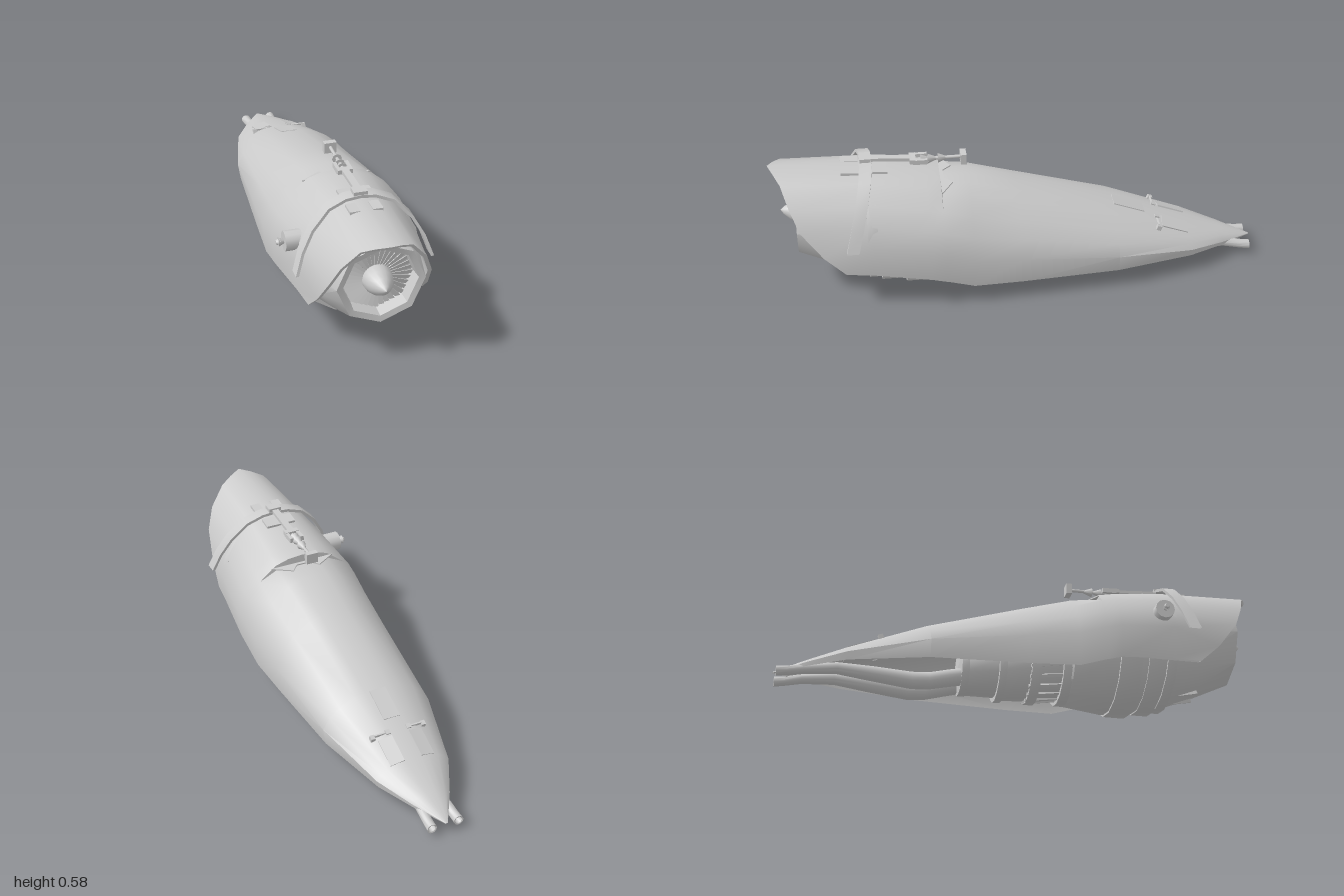
import * as THREE from 'three';
import { toCreasedNormals } from 'three/addons/utils/BufferGeometryUtils.js';

const mat = new THREE.MeshStandardMaterial({ color: 0xcccccc, side: THREE.DoubleSide });

// Skin between rows of [x, y, z] points
function loft(rows, crease = 0.7) {
  const pos = [], idx = [], n = rows[0].length;
  rows.forEach(r => r.forEach(p => pos.push(...p)));
  for (let i = 0; i < rows.length - 1; i++) {
    for (let j = 0; j < n - 1; j++) {
      const a = i * n + j, b = a + 1, c = a + n, d = c + 1;
      idx.push(a, b, c, b, d, c);
    }
  }
  const g = new THREE.BufferGeometry();
  g.setAttribute('position', new THREE.Float32BufferAttribute(pos, 3));
  g.setIndex(idx);
  return toCreasedNormals(g.toNonIndexed(), crease);
}

// Closed ring in a plane of constant z; octagon = true flattens every second corner
function ring(z, cy, r, octagon = false, cx = 0) {
  return Array.from({ length: 17 }, (_, i) => {
    const a = (i % 16) / 16 * Math.PI * 2;
    const k = octagon && i % 2 ? r * Math.cos(Math.PI / 8) : r;
    return [cx + Math.sin(a) * k, cy + Math.cos(a) * k, z];
  });
}

const mirror = half => [...half.slice(1).reverse().map(([x, y, z]) => [-x, y, z]), ...half];

export function createModel() {
  const model = new THREE.Group();
  const body = new THREE.Group();
  body.name = 'enginePod';
  body.position.x = 0.014;
  model.add(body);

  const add = (name, geo, x = 0, y = 0, z = 0, rx = 0, ry = 0, rz = 0, parent = body) => {
    const m = new THREE.Mesh(geo, mat);
    m.name = name;
    m.position.set(x, y, z);
    m.rotation.set(rx, ry, rz);
    parent.add(m);
  };
  const box = (w, h, d) => new THREE.BoxGeometry(w, h, d);
  const cyl = (a, b, h, n = 12) => new THREE.CylinderGeometry(a, b, h, n);

  // Outer cowl: an arched shell, open underneath, with a swept front lip
  const profile = [[0, 1], [0.22, 0.985], [0.42, 0.94], [0.7, 0.775], [0.88, 0.59], [1, 0.36], [0.95, 0]];
  const section = (z, w, top, bottom, floor = 9) => profile.map(([u, v], i) =>
    [u * w, Math.min(bottom + v * (top - bottom), i < 3 ? floor - 0.007 * Math.max(0, i - 1) : 9), z]);
  const lip = [[0, 0.57, 1], [0.05, 0.556, 0.977], [0.1, 0.535, 0.952], [0.165, 0.455, 0.922],
    [0.2, 0.365, 0.885], [0.218, 0.25, 0.8], [0.228, 0.17, 0.715]];
  const inset = pts => pts.map(([x, y, z]) => [x * 0.93, 0.17 + (y - 0.17) * 0.97, z - 0.006]);
  const stations = [
    section(0.6, 0.253, 0.545, 0.165), section(0.37, 0.28, 0.515, 0.14),
    section(0.315, 0.279, 0.505, 0.125), section(0.312, 0.279, 0.505, 0.125, 0.468), // intake step
    section(0.2, 0.275, 0.47, 0.09), section(0, 0.262, 0.412, 0.085),
    section(-0.4, 0.235, 0.29, 0.085), section(-0.72, 0.157, 0.167, 0.077),
    section(-0.87, 0.082, 0.112, 0.067), section(-1, 0.004, 0.062, 0.058),
  ];
  add('cowl', loft([inset(section(0.5, 0.262, 0.53, 0.16)), inset(lip), lip, ...stations].map(mirror)));

  // Engine core: octagonal inlet growing to a round casing, then stepping down
  add('coreCasing', loft([
    ring(0.82, 0.345, 0.14, true), ring(0.895, 0.347, 0.147, true), ring(0.9, 0.347, 0.172, true),
    ring(0.75, 0.315, 0.205), ring(0.6, 0.283, 0.233), ring(0.45, 0.252, 0.236),
    ring(0.36, 0.24, 0.228), ring(0.2, 0.215, 0.185), ring(0.18, 0.195, 0.145),
    ring(-0.08, 0.155, 0.128), ring(-0.09, 0.15, 0.112), ring(-0.25, 0.13, 0.094), ring(-0.26, 0.13, 0.001),
  ], 0.75));

  // Collars around the casing: front z, back z, centre height, outer radius
  [[0.62, 0.58, 0.286, 0.247], [0.57, 0.5, 0.268, 0.245], [0.47, 0.38, 0.252, 0.247],
    [0.2, 0.16, 0.19, 0.162], [0.07, 0.03, 0.172, 0.15], [-0.07, -0.1, 0.152, 0.133],
    [-0.22, -0.25, 0.134, 0.102]].forEach(([z0, z1, cy, r]) =>
    add('collar', loft([ring(z0, cy, r - 0.02), ring(z0, cy, r), ring(z1, cy, r), ring(z1, cy, r - 0.02)], 0.5)));

  // Lengthwise slats on the rear drum
  for (let i = 0; i < 20; i++) {
    const a = i / 20 * Math.PI * 2;
    add('drumSlat', box(0.012, 0.014, 0.15), Math.sin(a) * 0.14, 0.182 + Math.cos(a) * 0.14, 0.1, -0.15, 0, -a);
  }

  // Inlet fan and spinner
  const fan = new THREE.Group();
  fan.name = 'fan';
  fan.position.set(0, 0.34, 0.84);
  body.add(fan);
  add('fanDisc', new THREE.CircleGeometry(0.145, 16), 0, 0, -0.012, 0, 0, 0, fan);
  for (let i = 0; i < 36; i++) {
    const pivot = new THREE.Group();
    pivot.rotation.z = i / 36 * Math.PI * 2;
    fan.add(pivot);
    add('fanBlade', box(0.02, 0.085, 0.002), 0, 0.098, 0, 0, 0.35, 0, pivot);
  }
  const nose = [[0.058, -0.01], [0.058, 0.02], [0.051, 0.05], [0.035, 0.083], [0.016, 0.11], [0, 0.124]]
    .map(p => new THREE.Vector2(...p));
  add('spinner', new THREE.LatheGeometry(nose, 16), 0, -0.005, 0, Math.PI / 2 - 0.15, 0, 0, fan);

  // Small fins around the front of the casing
  [0.2, 1.25].forEach(t => [-1, 1].forEach(s => {
    const a = Math.PI - s * t;
    add('casingFin', box(0.01, 0.03, 0.1), Math.sin(a) * 0.208, 0.31 + Math.cos(a) * 0.208, 0.7, 0.21 * Math.cos(a), 0.21 * Math.sin(a), -a);
  }));

  // Twin exhaust pipes running back to the tail: z, x, y, radius
  [-1, 1].forEach(s => add('exhaustPipe', loft([
    [-0.22, 0.045, 0.095, 0.035], [-0.3, 0.05, 0.077, 0.036], [-0.38, 0.055, 0.056, 0.035],
    [-0.45, 0.057, 0.051, 0.035], [-0.6, 0.057, 0.065, 0.031], [-0.75, 0.055, 0.078, 0.024],
    [-0.88, 0.05, 0.064, 0.02], [-0.95, 0.055, 0.05, 0.019], [-0.99, 0.057, 0.045, 0.02],
    [-0.988, 0.057, 0.045, 0.015], [-0.95, 0.055, 0.05, 0.014],
  ].map(([z, x, y, r]) => ring(z, y, r, false, s * x)))));

  // Strap over the cowl, leaning forward toward its ends
  const strapHalf = [[0, 0.572], [0.06, 0.566], [0.13, 0.538], [0.2, 0.465], [0.245, 0.385], [0.274, 0.3]];
  const strapRow = (k, dz) => mirror(strapHalf.map(([x, y]) =>
    [x * k, 0.3 + (y - 0.3) * k, 0.61 + (0.572 - y) * 0.27 + dz]));
  add('strap', loft([strapRow(0.955, 0.025), strapRow(1, 0.025), strapRow(1, -0.025), strapRow(0.955, -0.025),
    strapRow(0.955, 0.025)], 0.5));

  // Linkage on top: mounting plates, arm, fork, spindle and end block
  add('mountPlate', box(0.13, 0.01, 0.06), 0, 0.541, 0.555, -0.1);
  [-1, 1].forEach(s => {
    add('mountLug', box(0.04, 0.012, 0.07), s * 0.045, 0.543, 0.675, -0.07);
    add('forkTine', box(0.014, 0.02, 0.06), s * 0.024, 0.555, 0.39);
  });
  add('hingeBlock', box(0.055, 0.02, 0.045), 0, 0.575, 0.61);
  add('linkArm', box(0.028, 0.014, 0.2), 0, 0.566, 0.51, -0.07);
  add('forkBridge', box(0.06, 0.018, 0.025), 0, 0.558, 0.42);
  add('spindle', cyl(0.007, 0.007, 0.2, 8), 0, 0.553, 0.31, Math.PI / 2);
  [0.37, 0.34, 0.3].forEach(z => add('spindleCone', cyl(0.02, 0.006, 0.035, 8), 0, 0.552, z, Math.PI / 2));
  add('endBlock', box(0.05, 0.045, 0.024), 0, 0.55, 0.215);

  // Wing-shaped vane in the top intake
  const wing = new THREE.Shape([[-0.14, 0], [-0.06, 0.05], [-0.03, 0.015], [0.03, 0.015], [0.06, 0.05], [0.14, 0]]
    .map(p => new THREE.Vector2(...p)));
  add('intakeVane', new THREE.ExtrudeGeometry(wing, { depth: 0.005, bevelEnabled: false }), 0, 0.468, 0.313, -Math.PI / 2);

  // Side fitting on the right flank
  const side = new THREE.Group();
  side.name = 'sideFitting';
  side.position.set(-0.24, 0.367, 0.555);
  body.add(side);
  add('fittingDrum', cyl(0.04, 0.04, 0.07, 12), -0.005, 0, 0, 0, 0, Math.PI / 2, side);
  add('fittingNeck', cyl(0.018, 0.008, 0.025, 8), -0.05, 0, 0, 0, 0, Math.PI / 2, side);
  add('fittingTip', cyl(0.008, 0.016, 0.015, 8), -0.064, 0, 0, 0, 0, Math.PI / 2, side);

  // Hatch panels and latches on the sloping rear deck
  add('centreHatch', box(0.07, 0.006, 0.14), 0, 0.262, -0.47, -0.367);
  [-1, 1].forEach(s => {
    add('sideHatch', box(0.06, 0.006, 0.12), s * 0.065, 0.184, -0.66, -0.367, 0, -s * 0.25);
    [0.045, 0.11].forEach(x => add('latch', box(0.018, 0.02, 0.02), s * x, 0.216 - x * 0.1, -0.585, -0.37));
    add('latchBar', box(0.05, 0.008, 0.008), s * 0.078, 0.212, -0.585);
  });
  return model;
}
